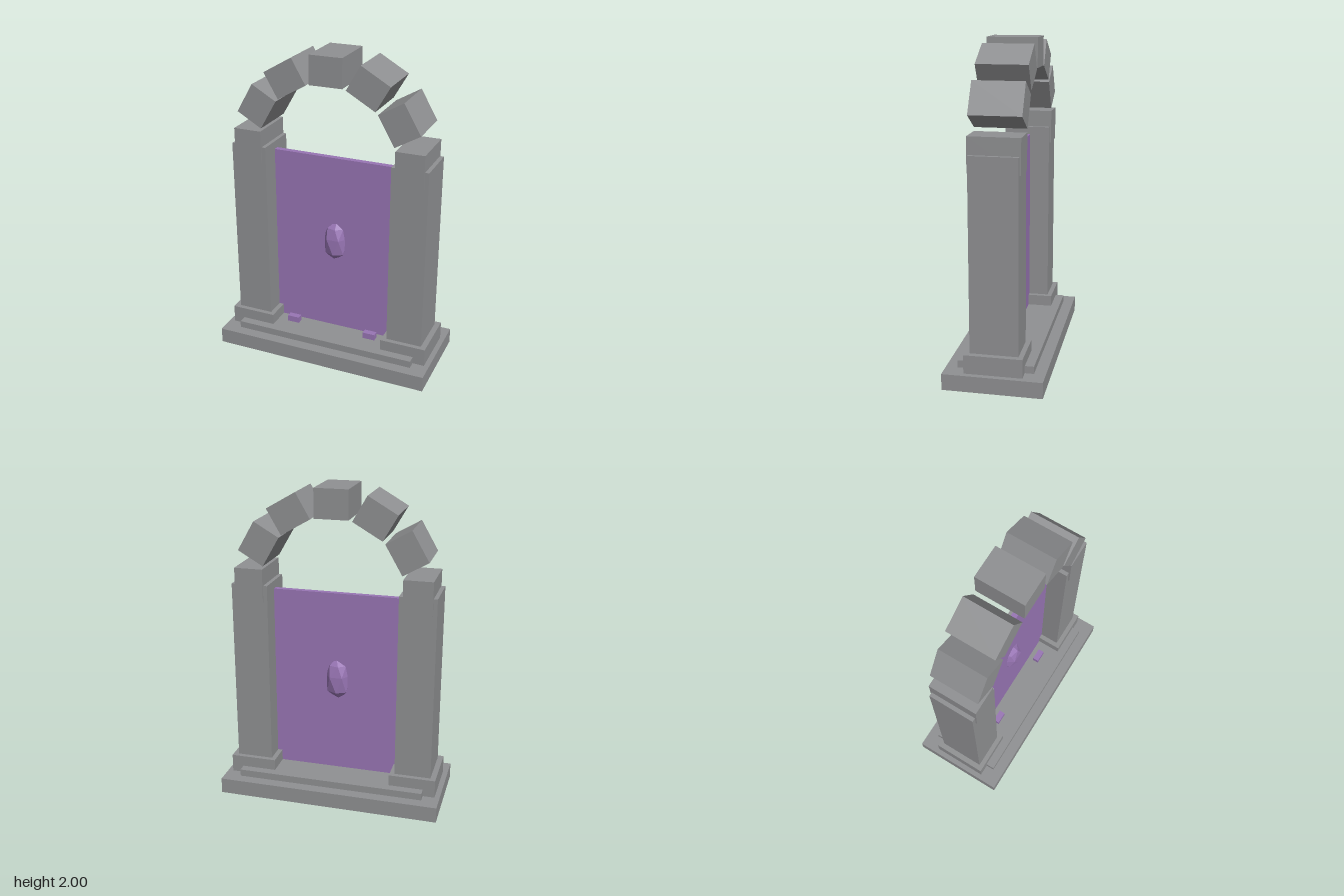
import * as THREE from 'three';
import { ConvexGeometry } from 'three/addons/geometries/ConvexGeometry.js';

export function createModel() {
  const group = new THREE.Group();
  const stone = new THREE.MeshStandardMaterial({ name: 'grey stone', color: 0x8f9092 });
  const magic = new THREE.MeshStandardMaterial({ name: 'violet magic', color: 0x9875b4 });

  // Box given by its size, horizontal centre and bottom height
  const box = (name, mat, w, h, d, x, bottom, z = 0) => {
    const mesh = new THREE.Mesh(new THREE.BoxGeometry(w, h, d), mat);
    mesh.name = name;
    mesh.position.set(x, bottom + h / 2, z);
    group.add(mesh);
    return mesh;
  };

  // Stepped base
  box('base', stone, 1.414, 0.1, 0.6, 0, 0);
  box('step', stone, 1.2, 0.045, 0.46, 0, 0.1);

  // Pillars on plinths, with small stones in front of the portal
  for (const side of [-1, 1]) {
    const label = side > 0 ? 'left' : 'right';
    box(label + 'Plinth', stone, 0.295, 0.115, 0.35, side * 0.527, 0.1);
    box(label + 'Pillar', stone, 0.23, 1.17, 0.29, side * 0.525, 0.215);
    box(label + 'FloorStone', magic, 0.08, 0.04, 0.04, side * 0.27, 0.145, 0.075);
  }

  // Ring of separate arch blocks, ending upright on the pillars
  for (let i = 0; i < 7; i++) {
    const a = (i - 3) * Math.PI / 6;
    const block = box('archBlock' + (i + 1), stone, 0.21, 0.18, 0.31, 0, 0);
    block.position.set(0.525 * Math.sin(a), 1.385 + 0.525 * Math.cos(a), 0);
    block.rotation.z = -a;
  }

  // Portal sheet
  box('portal', magic, 0.82, 1.19, 0.036, 0, 0.145);

  // Faceted crystal in the middle: two tips and three twisted rings
  const points = [new THREE.Vector3(0.01, 0.912, 0), new THREE.Vector3(-0.01, 0.622, 0)];
  for (const [y, r, twist] of [[0.86, 0.06, 0.3], [0.79, 0.081, 0], [0.685, 0.07, 0.5]]) {
    for (let i = 0; i < 6; i++) {
      const a = i * Math.PI / 3 + twist;
      points.push(new THREE.Vector3(r * Math.cos(a), y, 0.85 * r * Math.sin(a)));
    }
  }
  const crystal = new THREE.Mesh(new ConvexGeometry(points), magic);
  crystal.name = 'crystal';
  group.add(crystal);

  return group;
}
